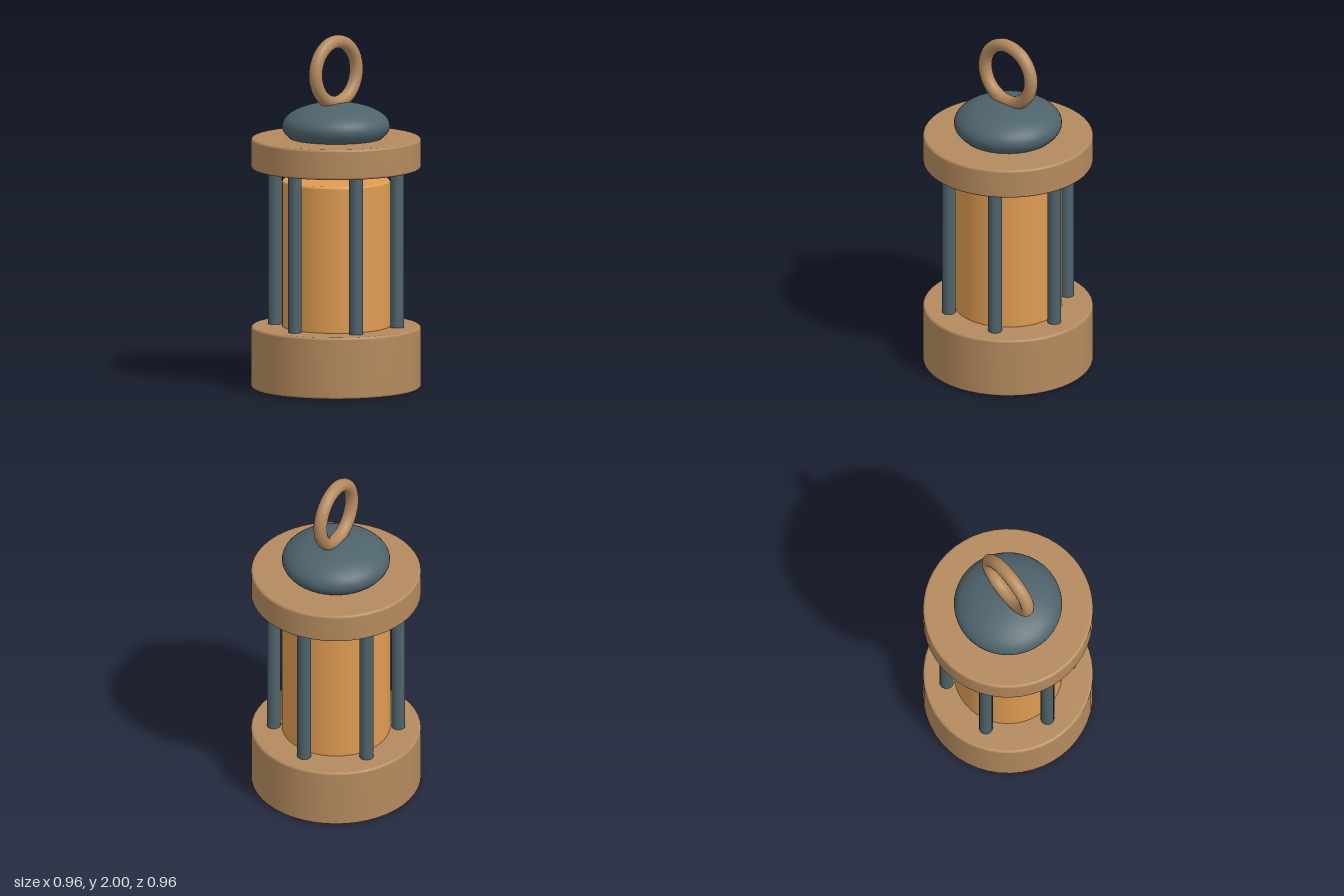
import * as THREE from 'three';

const wood = new THREE.MeshStandardMaterial({ color: 0xb48a5e });
wood.name = 'warm tan';
const iron = new THREE.MeshStandardMaterial({ color: 0x4e636b });
iron.name = 'slate';
const amber = new THREE.MeshStandardMaterial({ color: 0xdf9c52 });
amber.name = 'amber';

// Solid disc or drum with a small rounded rim; doubled points keep flat faces crisp
function roundedDrum(radius, bottom, top, bevel) {
  const points = [new THREE.Vector2(0, bottom), new THREE.Vector2(radius - bevel - 0.001, bottom)];
  for (let i = 0; i <= 4; i++) {
    const a = -Math.PI / 2 + (i / 4) * Math.PI / 2;
    points.push(new THREE.Vector2(radius - bevel + bevel * Math.cos(a), bottom + bevel + bevel * Math.sin(a)));
  }
  for (let i = 0; i <= 4; i++) {
    const a = (i / 4) * Math.PI / 2;
    points.push(new THREE.Vector2(radius - bevel + bevel * Math.cos(a), top - bevel + bevel * Math.sin(a)));
  }
  points.push(new THREE.Vector2(radius - bevel - 0.001, top), new THREE.Vector2(0, top));
  return new THREE.LatheGeometry(points, 48);
}

export function createModel() {
  const lantern = new THREE.Group();
  lantern.name = 'lantern';

  function add(name, geometry, material, x = 0, y = 0, z = 0) {
    const mesh = new THREE.Mesh(geometry, material);
    mesh.name = name;
    mesh.position.set(x, y, z);
    lantern.add(mesh);
    return mesh;
  }

  // Base, glowing core and roof plate
  add('base', roundedDrum(0.478, 0, 0.35, 0.014), wood);
  add('lampGlass', roundedDrum(0.305, 0.34, 1.18, 0.014), amber);
  add('roofPlate', roundedDrum(0.478, 1.245, 1.417, 0.014), wood);

  // Six posts around the glass
  const postGeometry = new THREE.CylinderGeometry(0.039, 0.039, 0.93, 20);
  for (let i = 0; i < 6; i++) {
    const a = (i / 6) * Math.PI * 2;
    add('post' + (i + 1), postGeometry, iron, 0.35 * Math.cos(a), 0.8, 0.35 * Math.sin(a));
  }

  // Flattened dome and carrying ring
  add('domeCap', new THREE.SphereGeometry(0.304, 40, 24), iron, 0, 1.485, 0).scale.y = 0.435;
  add('carryRing', new THREE.TorusGeometry(0.173, 0.038, 16, 48), wood, 0, 1.789, 0);

  return lantern;
}
